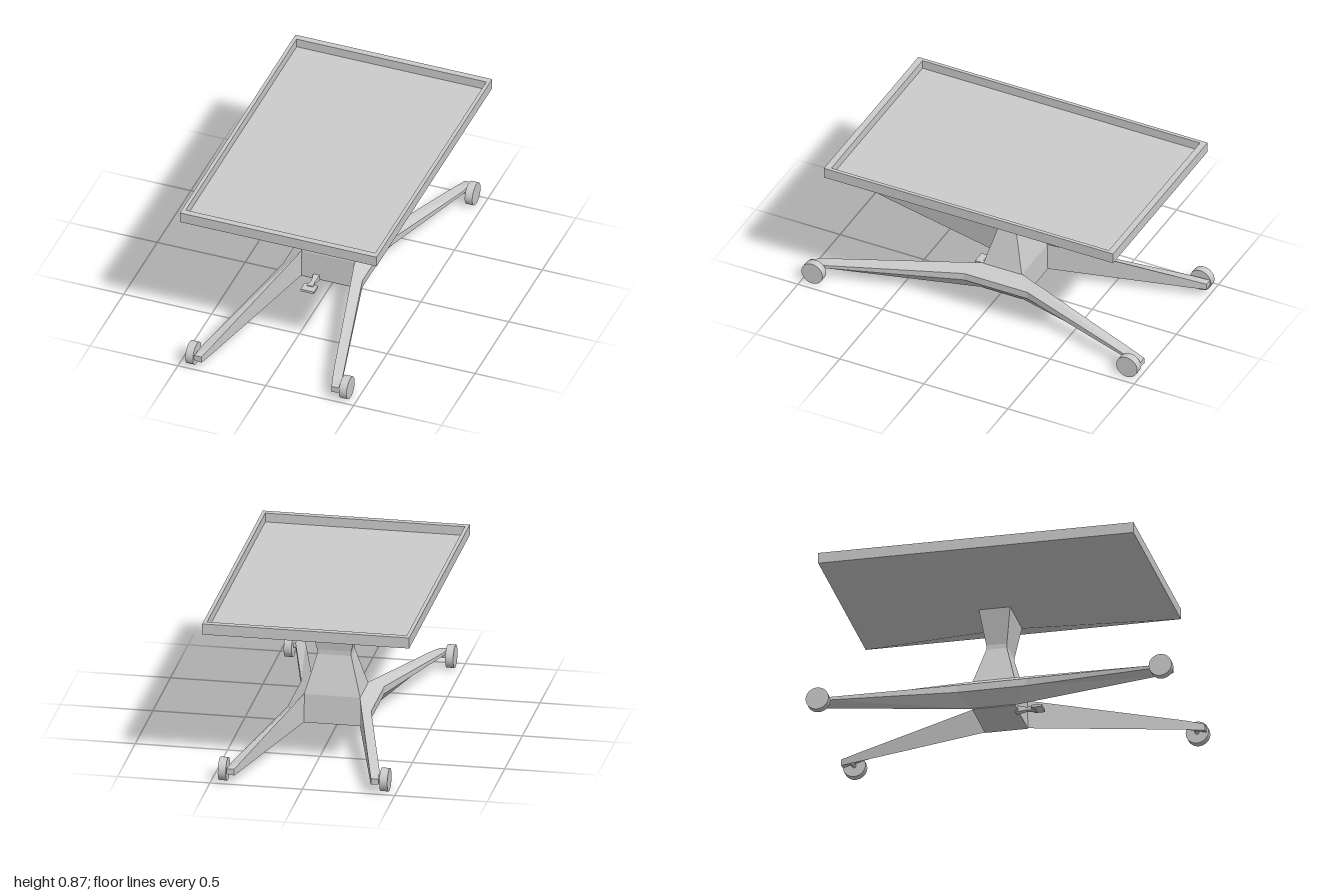
import * as THREE from 'three';

const material = new THREE.MeshStandardMaterial({ color: 0xcccccc, flatShading: true });
const smooth = new THREE.MeshStandardMaterial({ color: 0xcccccc });

// Skin between four-cornered sections (counter-clockwise seen from the far end), capped at both ends
function loft(name, sections) {
  const n = sections[0].length, index = [];
  for (let i = 0; i < sections.length - 1; i++) {
    for (let j = 0; j < n; j++) {
      const k = (j + 1) % n, a = i * n, b = a + n;
      index.push(a + j, a + k, b + k, a + j, b + k, b + j);
    }
  }
  const last = (sections.length - 1) * n;
  for (let j = 1; j < n - 1; j++) {
    index.push(0, j + 1, j, last, last + j, last + j + 1);
  }
  const indexed = new THREE.BufferGeometry();
  indexed.setAttribute('position', new THREE.Float32BufferAttribute(sections.flat(2), 3));
  indexed.setIndex(index);
  const geometry = indexed.toNonIndexed();
  geometry.computeVertexNormals();
  const mesh = new THREE.Mesh(geometry, material);
  mesh.name = name;
  return mesh;
}

// Horizontal rectangle at height y
const level = (y, x, zBack, zFront) => [[x, y, zFront], [x, y, zBack], [-x, y, zBack], [-x, y, zFront]];

// Upright rectangle at depth z
const upright = (z, x, w, y0, y1) => [[x - w, y0, z], [x + w, y0, z], [x + w, y1, z], [x - w, y1, z]];

// Leg section: inner and outer edges have their own depth
const legSection = (s, zIn, zOut, xIn, xOut, yBottom, yOutLow, yOutTop, yTop) => {
  const points = [[s * xIn, yBottom, zIn], [s * xOut, yOutLow, zOut], [s * xOut, yOutTop, zOut], [s * xIn, yTop, zIn]];
  return s > 0 ? points : points.reverse();
};

export function createModel() {
  const group = new THREE.Group();

  // Tray: sloped underside, rim and recessed floor
  group.add(loft('tray', [
    level(0.64, 0.14, -0.126, 0.045),
    level(0.805, 0.56, -0.905, 0.815),
    level(0.865, 0.56, -0.905, 0.815),
    level(0.865, 0.54, -0.87, 0.78),
    level(0.815, 0.54, -0.87, 0.78),
  ]));

  // Waisted column running down into the hub
  group.add(loft('column', [
    level(0.055, 0.153, -0.16, 0.075),
    level(0.215, 0.153, -0.157, 0.072),
    level(0.24, 0.145, -0.15, 0.065),
    level(0.425, 0.092, -0.096, 0.016),
    level(0.45, 0.092, -0.096, 0.016),
    level(0.64, 0.14, -0.126, 0.045),
  ]));

  for (const s of [1, -1]) {
    const side = s > 0 ? 'left' : 'right';

    // Front and back leg of one side, joined along the hub
    group.add(loft(side + 'Legs', [
      legSection(s, -0.995, -0.995, 0.37, 0.412, 0.05, 0.055, 0.085, 0.085),
      legSection(s, -0.89, -0.89, 0.342, 0.397, 0.05, 0.075, 0.092, 0.103),
      legSection(s, -0.157, -0.225, 0.15, 0.225, 0.057, 0.128, 0.17, 0.218),
      legSection(s, 0.072, 0.15, 0.15, 0.225, 0.057, 0.128, 0.17, 0.218),
      legSection(s, 0.89, 0.89, 0.342, 0.397, 0.05, 0.075, 0.092, 0.103),
      legSection(s, 0.99, 0.99, 0.37, 0.412, 0.048, 0.055, 0.085, 0.085),
    ]));

    // Wheels on short axles
    for (const z of [0.937, -0.935]) {
      const caster = new THREE.Group();
      caster.name = side + (z > 0 ? 'Front' : 'Back') + 'Caster';
      const wheel = new THREE.Mesh(new THREE.CylinderGeometry(0.0625, 0.0625, 0.043, 32), smooth);
      wheel.name = 'wheel';
      const axle = new THREE.Mesh(new THREE.CylinderGeometry(0.012, 0.012, 0.05, 12), smooth);
      axle.name = 'axle';
      axle.position.y = 0.035;
      caster.add(wheel, axle);
      caster.rotation.z = Math.PI / 2;
      caster.position.set(s * 0.437, 0.0625, z);
      if (s < 0) axle.position.y = -0.035;
      group.add(caster);
    }
  }

  // Foot pedal: tapered arm and flat plate
  group.add(loft('pedalArm', [
    upright(0.06, -0.066, 0.02, 0.046, 0.087),
    upright(0.12, -0.066, 0.011, 0.055, 0.073),
    upright(0.17, -0.066, 0.018, 0.05, 0.075),
  ]));
  const plate = new THREE.Mesh(new THREE.BoxGeometry(0.076, 0.014, 0.06), material);
  plate.name = 'pedalPlate';
  plate.position.set(-0.066, 0.063, 0.18);
  group.add(plate);

  return group;
}
